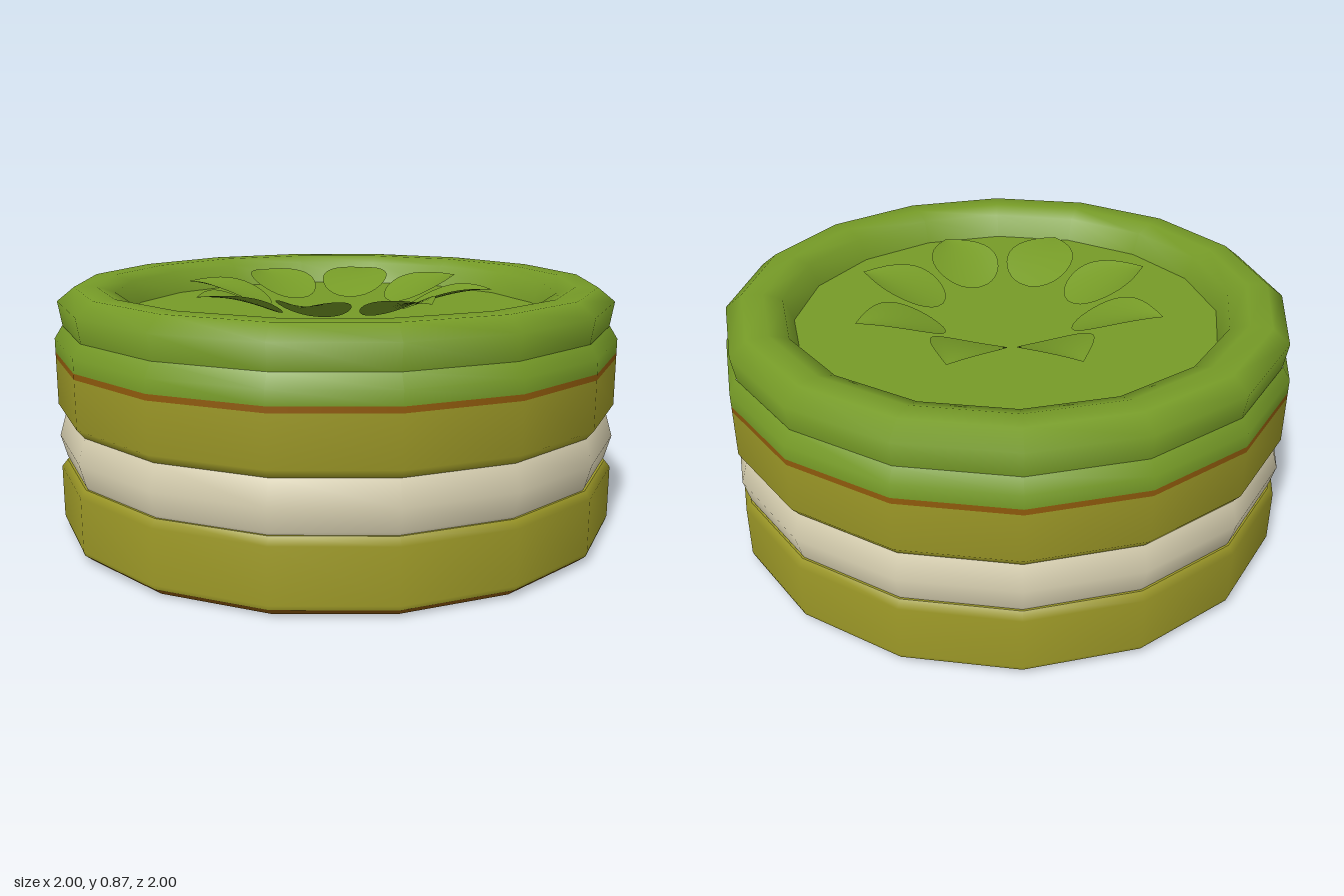
import * as THREE from 'three';

const SIDES = 16;
const flat = (name, color, side = THREE.FrontSide) => {
  const m = new THREE.MeshStandardMaterial({ color, side });
  m.name = name;
  return m;
};

// One petal: round at the inner end, pointed and lifted at the outer tip, edges curled up
function petalGeometry() {
  const geo = new THREE.PlaneGeometry(1, 1, 8, 14);
  const p = geo.attributes.position;
  for (let i = 0; i < p.count; i++) {
    const s = p.getX(i) * 2;
    const t = Math.pow(p.getY(i) + 0.5, 1.5);
    const half = t < 0.4
      ? 0.126 * Math.sqrt(Math.max(0, 1 - ((0.4 - t) / 0.4) ** 2))
      : 0.126 * Math.cos(((t - 0.4) / 0.6) * Math.PI / 2);
    const lift = 0.008 + 0.078 * Math.sin(t * Math.PI / 2);
    const curl = 0.02 * s * s * Math.sin(Math.PI * t);
    p.setXYZ(i, s * half, lift + curl, -(0.245 + 0.315 * t));
  }
  geo.computeVertexNormals();
  return geo;
}

export function createModel() {
  const model = new THREE.Group();
  model.name = 'layerCake';

  const green = flat('green icing', 0x769b27);
  const petalGreen = flat('petal green', 0x769b27, THREE.DoubleSide);
  const sponge = flat('olive sponge', 0x9c9827);
  const cream = flat('cream', 0xd9d1b2);
  const crust = flat('brown crust', 0x8f5a0c);

  // Turned layers, each profile listed as [radius, height] from the bottom up
  const layer = (name, material, profile) => {
    const pts = profile.map(([r, y]) => new THREE.Vector2(r, y));
    const mesh = new THREE.Mesh(new THREE.LatheGeometry(pts, SIDES), material);
    mesh.name = name;
    model.add(mesh);
  };

  // Base and lower sponge
  layer('baseUnderside', crust, [[0, 0], [0.965, 0]]);
  layer('baseCrust', crust, [[0.965, 0], [0.995, 0.025]]);
  layer('lowerSponge', sponge, [[0.995, 0.025], [1, 0.04], [1, 0.225], [0.98, 0.25]]);
  layer('lowerSpongeTop', sponge, [[0.98, 0.25], [0.9, 0.25]]);

  // Cream filling
  layer('creamFilling', cream, [[0.97, 0.245], [0.978, 0.26], [1, 0.34], [0.975, 0.425], [0.96, 0.435]]);

  // Upper sponge with a thin crust line
  layer('upperSpongeUnderside', sponge, [[0.9, 0.425], [0.975, 0.425]]);
  layer('upperSponge', sponge, [[0.975, 0.425], [1, 0.455], [1, 0.622]]);
  layer('crustLine', crust, [[1, 0.622], [1, 0.642]]);

  // Icing: lower band, raised rim and sunken top
  layer('icingBand', green, [[1, 0.642], [1, 0.69], [0.972, 0.735]]);
  layer('icingRim', green, [
    [0.97, 0.73], [0.985, 0.82], [0.925, 0.868], [0.85, 0.868], [0.785, 0.845], [0.752, 0.765],
  ]);
  layer('icingTop', green, [[0.76, 0.765], [0, 0.765]]);

  // Ring of eight petals
  const flower = new THREE.Group();
  flower.name = 'flower';
  flower.position.y = 0.765;
  const geo = petalGeometry();
  for (let i = 0; i < 8; i++) {
    const petal = new THREE.Mesh(geo, petalGreen);
    petal.name = 'petal';
    petal.rotation.y = (i * Math.PI) / 4;
    flower.add(petal);
  }
  model.add(flower);

  return model;
}
